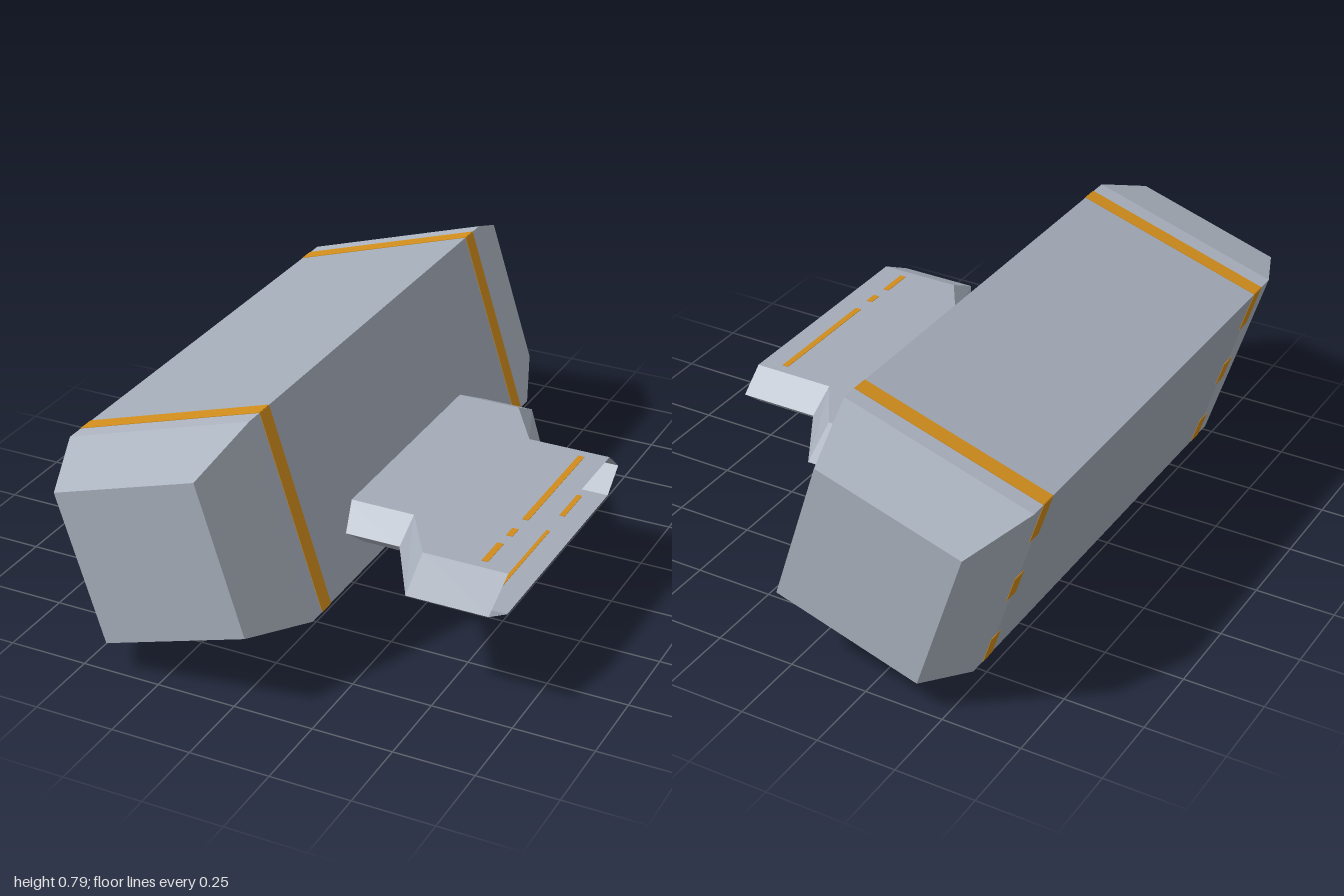
import * as THREE from 'three';

const hullGrey = new THREE.MeshStandardMaterial({ color: 0xa3abb7 });
hullGrey.name = 'hullGrey';
const endGrey = new THREE.MeshStandardMaterial({ color: 0xabb3bf });
endGrey.name = 'endGrey';
const wingGrey = new THREE.MeshStandardMaterial({ color: 0xa3abb7, side: THREE.DoubleSide });
wingGrey.name = 'wingGrey';
const orange = new THREE.MeshStandardMaterial({ color: 0xd08c1c });
orange.name = 'stripeOrange';

// Flat-faced skin through a list of rings, with optional end caps
function loft(rings, capStart, capEnd) {
  const pos = [];
  const tri = (a, b, c) => pos.push(...a, ...b, ...c);
  const n = rings[0].length;
  for (let r = 0; r < rings.length - 1; r++) {
    const a = rings[r], b = rings[r + 1];
    for (let i = 0; i < n; i++) {
      const j = (i + 1) % n;
      tri(a[i], a[j], b[j]);
      tri(a[i], b[j], b[i]);
    }
  }
  const last = rings[rings.length - 1];
  for (let i = 1; i < n - 1; i++) {
    if (capStart) tri(rings[0][0], rings[0][i + 1], rings[0][i]);
    if (capEnd) tri(last[0], last[i], last[i + 1]);
  }
  const g = new THREE.BufferGeometry();
  g.setAttribute('position', new THREE.Float32BufferAttribute(pos, 3));
  g.computeVertexNormals();
  return g;
}

function add(parent, name, geometry, material, x = 0, y = 0, z = 0) {
  const m = new THREE.Mesh(geometry, material);
  m.name = name;
  m.position.set(x, y, z);
  parent.add(m);
  return m;
}

const H = 0.3145; // half width of the hull
const E = 0.2415; // half width of its end faces
const square = (h, z) => [[-h, -h, z], [h, -h, z], [h, h, z], [-h, h, z]];

function createHull() {
  const hull = new THREE.Group();
  hull.name = 'hull';
  add(hull, 'hullBody', loft([square(H, -0.69), square(H, 0.685)]), hullGrey);
  add(hull, 'hullFrontEnd', loft([square(H, 0.685), square(H, 0.77), square(E, 1)], false, true), endGrey);
  add(hull, 'hullBackEnd', loft([square(E, -1), square(H, -0.77), square(H, -0.69)], true, false), endGrey);

  // Painted bands: full on three sides, broken on the left one
  const t = 0.003, w = 0.054;
  for (const z of [0.685, -0.69]) {
    for (const s of [1, -1]) {
      add(hull, 'stripe', new THREE.BoxGeometry(2 * H, t, w), orange, 0, s * H, z);
    }
    add(hull, 'stripe', new THREE.BoxGeometry(t, 2 * H, w), orange, H, 0, z);
    for (const [from, to] of [[0, 0.23], [0.46, 0.6], [0.85, 1]]) {
      add(hull, 'stripeDash', new THREE.BoxGeometry(t, (to - from) * 2 * H, w), orange,
        -H, H - (from + to) * H, z);
    }
  }
  hull.position.set(-0.261, 0.3985, 0);
  hull.rotation.z = Math.atan2(0.188, 0.6);
  return hull;
}

function createWing() {
  const wing = new THREE.Group();
  wing.name = 'wing';
  const top = 0.39, mid = 0.322, low = 0.257;
  // Hexagonal section: x of flat edges, x of tips, flat z range, tip z range
  const section = (x, xt, zb, zf, tb, tf) => [
    [x, top, zb], [x, top, zf], [xt, mid, tf], [x, low, zf], [x, low, zb], [xt, mid, tb],
  ];
  add(wing, 'wingShell', loft([
    section(0.04, 0.04, -0.36, 0.40, -0.49, 0.48),
    section(0.275, 0.267, -0.36, 0.40, -0.49, 0.48),
    section(0.39, 0.40, -0.18, 0.583, -0.26, 0.715),
    section(0.655, 0.655, -0.18, 0.583, -0.26, 0.715),
  ]), wingGrey);

  // Painted line near the outer edge, above and below
  const dash = (y, z0, z1, x) =>
    add(wing, 'wingDash', new THREE.BoxGeometry(0.02, 0.003, z1 - z0), orange, x, y, (z0 + z1) / 2);
  dash(top, -0.145, 0.285, 0.577);
  dash(top, 0.345, 0.39, 0.573);
  dash(top, 0.44, 0.55, 0.568);
  dash(low, -0.14, 0, 0.577);
  dash(low, 0.1, 0.5, 0.572);
  return wing;
}

export function createModel() {
  const model = new THREE.Group();
  model.name = 'model';
  model.add(createHull(), createWing());
  return model;
}
